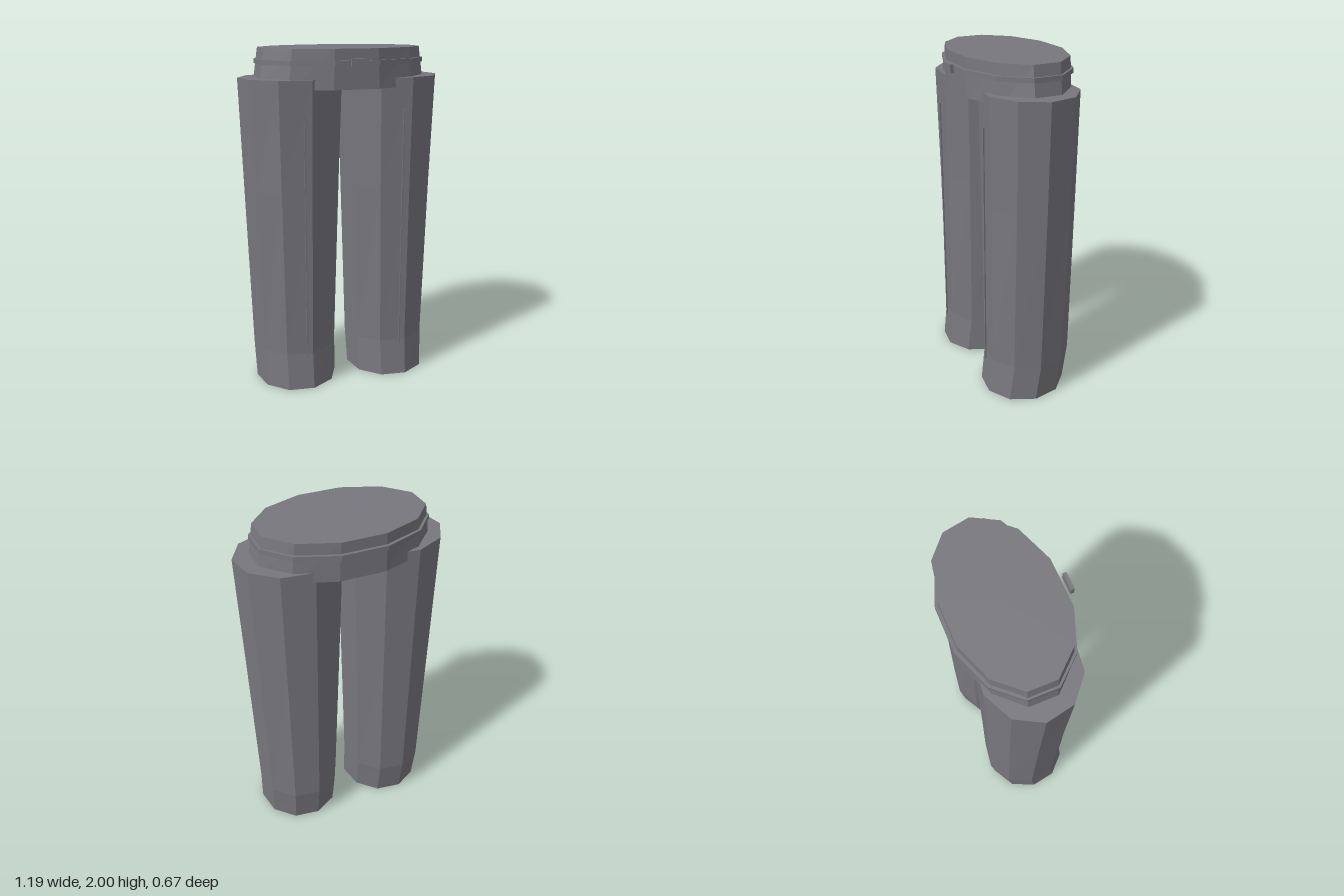
import * as THREE from 'three';

const rad = THREE.MathUtils.degToRad;

// Faceted elliptical column: rings run bottom to top as { y, rx, rz, cz }
function column(sides, turn, rings) {
  const rows = rings.length - 1;
  const geo = new THREE.CylinderGeometry(1, 1, 1, sides, rows);
  geo.rotateY(rad(turn));
  const p = geo.attributes.position;
  for (let i = 0; i < p.count; i++) {
    const r = rings[Math.round((p.getY(i) + 0.5) * rows)];
    p.setXYZ(i, p.getX(i) * r.rx, r.y, p.getZ(i) * r.rz + r.cz);
  }
  const flat = geo.toNonIndexed();
  flat.computeVertexNormals();
  return flat;
}

export function createModel() {
  const group = new THREE.Group();
  group.name = 'trousers';
  const cloth = new THREE.MeshStandardMaterial({ color: 0x77777d });
  cloth.name = 'grey cloth';

  const add = (name, geo, x = 0, y = 0, z = 0) => {
    const mesh = new THREE.Mesh(geo, cloth);
    mesh.name = name;
    mesh.position.set(x, y, z);
    group.add(mesh);
  };

  // Legs: tapered ten-sided tubes, the hems kicking forward
  const legGeo = column(10, 10, [
    { y: 0, rx: 0.245, rz: 0.254, cz: 0.01 },
    { y: 0.22, rx: 0.252, rz: 0.257, cz: -0.017 },
    { y: 1.2, rx: 0.282, rz: 0.261, cz: -0.017 },
    { y: 1.835, rx: 0.302, rz: 0.267, cz: -0.0125 },
  ]);
  // Pressed creases stand just in front of the legs
  const creaseGeo = new THREE.BoxGeometry(0.008, 1.445, 0.008);
  for (const [side, s] of [['left', 1], ['right', -1]]) {
    add(side + 'Leg', legGeo, s * 0.298);
    add(side + 'Crease', creaseGeo, s * 0.295, 0.9325, 0.26);
  }

  // Waist
  add('waist', column(12, 15, [
    { y: 1.78, rx: 0.517, rz: 0.308, cz: -0.02 },
    { y: 2, rx: 0.483, rz: 0.308, cz: -0.02 },
  ]));

  // Belt and buckle
  add('belt', column(12, 15, [
    { y: 1.91, rx: 0.505, rz: 0.326, cz: -0.02 },
    { y: 1.937, rx: 0.505, rz: 0.326, cz: -0.02 },
  ]));
  add('buckle', new THREE.BoxGeometry(0.1, 0.046, 0.02), 0, 1.928, 0.325);

  return group;
}
